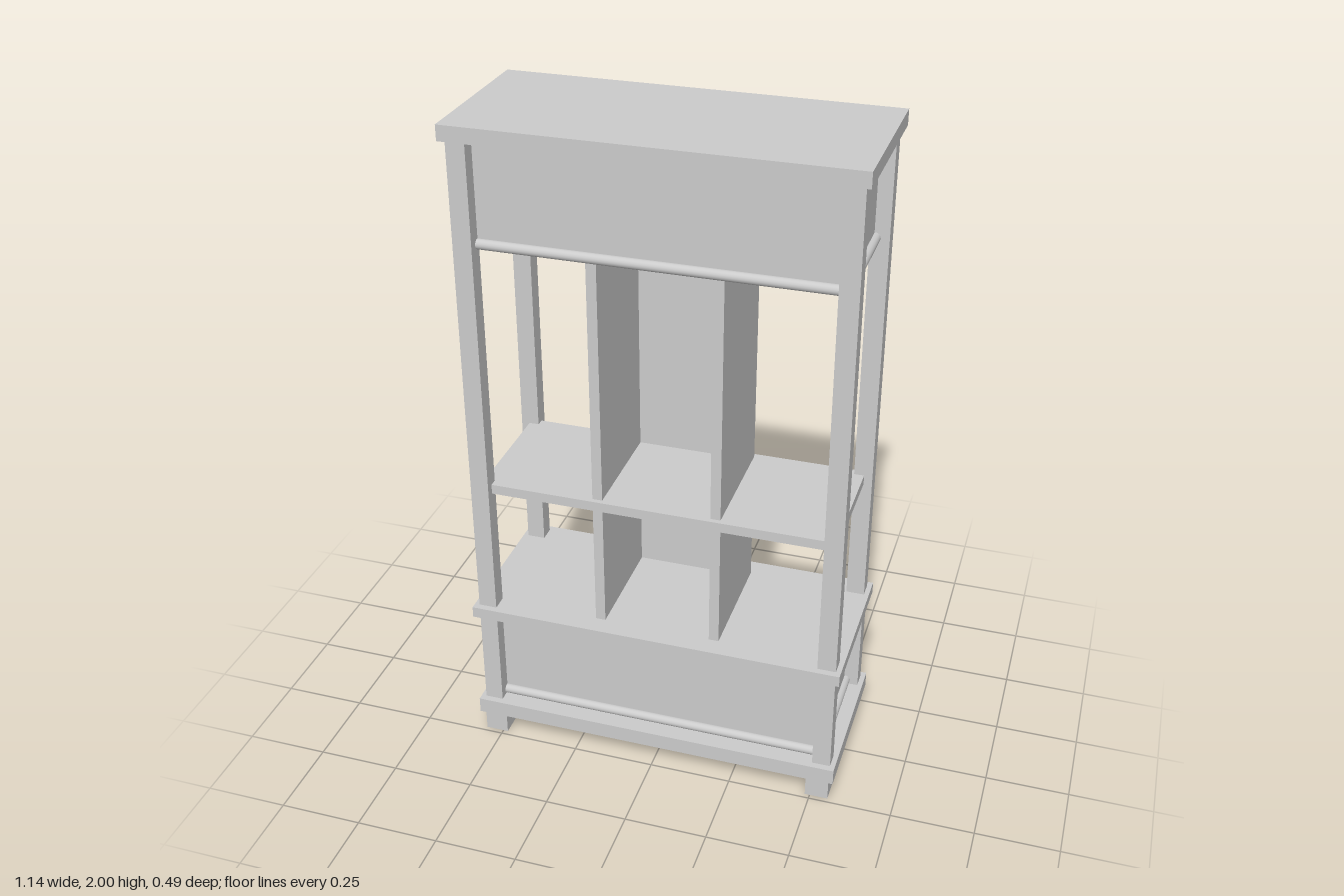
import * as THREE from 'three';

export function createModel() {
  const group = new THREE.Group();
  const material = new THREE.MeshStandardMaterial({ color: 0xcccccc });

  const add = (name, geometry, x, y, z) => {
    const mesh = new THREE.Mesh(geometry, material);
    mesh.name = name;
    mesh.position.set(x, y, z);
    group.add(mesh);
    return mesh;
  };
  // box from half width, half depth and a bottom/top height
  const block = (name, hx, hz, y0, y1, x = 0, z = 0) =>
    add(name, new THREE.BoxGeometry(hx * 2, y1 - y0, hz * 2), x, (y0 + y1) / 2, z);

  // overhanging slabs
  block('baseSlab', 0.57, 0.245, 0.07, 0.12);
  block('counterSlab', 0.57, 0.245, 0.44, 0.475);
  block('topSlab', 0.57, 0.243, 1.955, 2);

  // feet and corner posts
  for (const sx of [-1, 1]) {
    for (const sz of [-1, 1]) {
      block('foot', 0.035, 0.035, 0, 0.07, sx * 0.52, sz * 0.2);
      block('lowerPost', 0.0275, 0.025, 0.12, 0.44, sx * 0.5275, sz * 0.2);
      block('upperPost', 0.0275, 0.025, 0.475, 1.955, sx * 0.5275, sz * 0.2);
    }
  }

  // closed cabinets, recessed between the posts
  block('lowerCabinet', 0.512, 0.182, 0.12, 0.44);
  block('upperCabinet', 0.512, 0.182, 1.64, 1.955);

  // rounded moulding around the foot of each cabinet
  const r = 0.015;
  for (const y of [0.12 + r, 1.64 + r]) {
    for (const s of [-1, 1]) {
      const long = new THREE.CylinderGeometry(r, r, 1.01, 16).rotateZ(Math.PI / 2);
      add('longMoulding', long, 0, y, s * 0.185);
      const short = new THREE.CylinderGeometry(r, r, 0.36, 16).rotateX(Math.PI / 2);
      add('sideMoulding', short, s * 0.515, y, 0);
    }
  }

  // open shelf
  block('shelf', 0.53, 0.2, 0.87, 0.9);

  // central niche: two dividers and a slightly recessed back
  for (const s of [-1, 1]) block('divider', 0.015, 0.185, 0.475, 1.64, s * 0.177, 0);
  block('nicheBack', 0.162, 0.004, 0.475, 1.64, 0, -0.168);

  return group;
}
